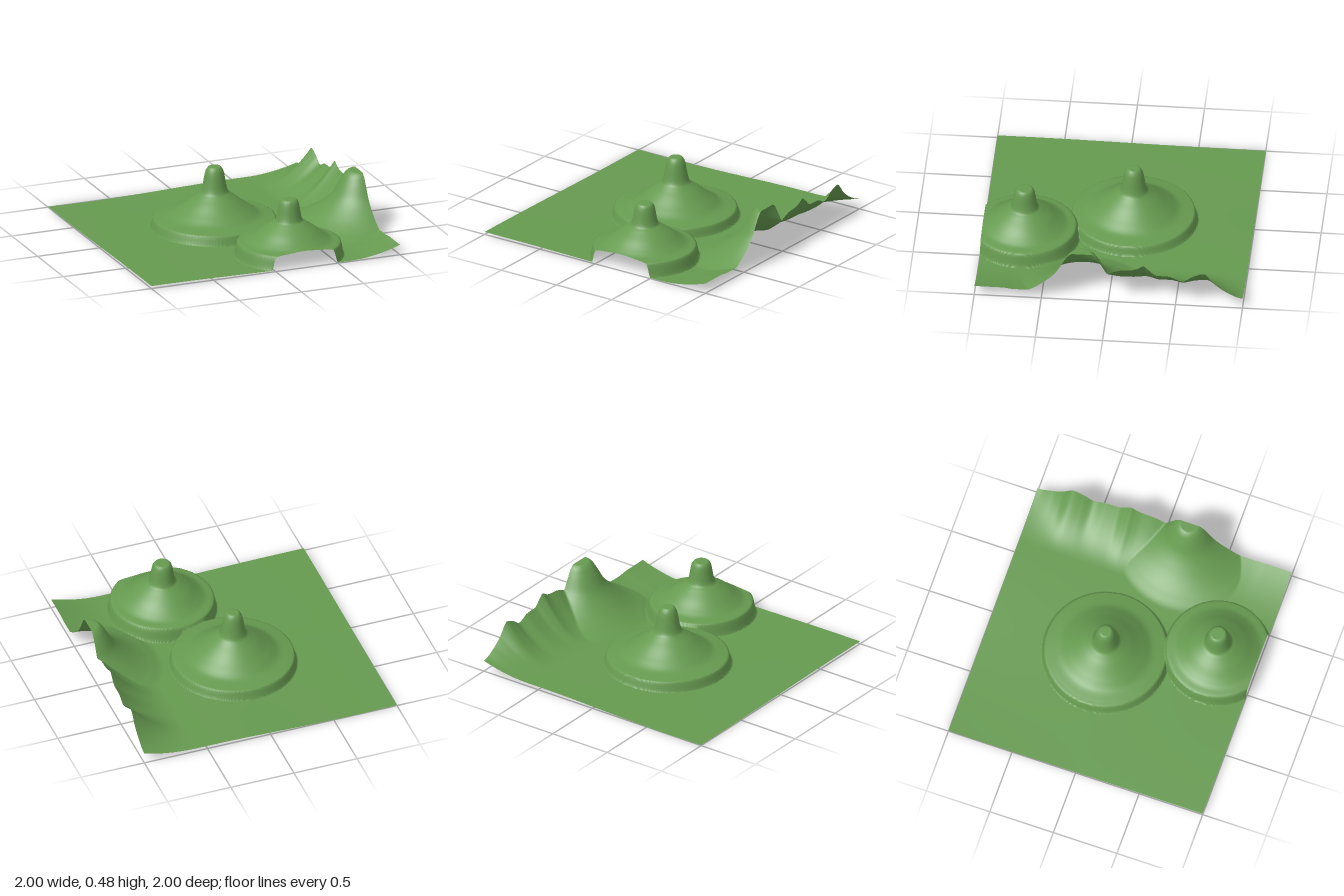
import * as THREE from 'three';

// Smooth curve through [position, height] points that never overshoots them
function curve(pts) {
  const n = pts.length;
  const slope = pts.slice(1).map((p, i) => (p[1] - pts[i][1]) / (p[0] - pts[i][0]));
  const tangent = pts.map((p, i) => {
    if (i === 0 || i === n - 1) return 0;
    const a = slope[i - 1], b = slope[i];
    return a * b <= 0 ? 0 : (2 * a * b) / (a + b);
  });
  return (x) => {
    if (x <= pts[0][0]) return pts[0][1];
    if (x >= pts[n - 1][0]) return pts[n - 1][1];
    let i = 0;
    while (x > pts[i + 1][0]) i++;
    const h = pts[i + 1][0] - pts[i][0], t = (x - pts[i][0]) / h, t2 = t * t, t3 = t2 * t;
    return (2 * t3 - 3 * t2 + 1) * pts[i][1] + (t3 - 2 * t2 + t) * h * tangent[i]
      + (3 * t2 - 2 * t3) * pts[i + 1][1] + (t3 - t2) * h * tangent[i + 1];
  };
}

// Round hills: flat-topped spire, domed skirt, rim and a short cliff (radius, height)
const hills = [
  { x: -0.035, z: -0.1, profile: curve([[0.04, 0.49], [0.065, 0.46], [0.1, 0.3], [0.13, 0.272], [0.18, 0.235],
    [0.27, 0.165], [0.35, 0.115], [0.42, 0.1], [0.455, 0.092], [0.482, 0]]) },
  { x: 0.235, z: 0.69, profile: curve([[0.05, 0.45], [0.07, 0.43], [0.1, 0.29], [0.13, 0.268], [0.2, 0.22],
    [0.27, 0.165], [0.32, 0.135], [0.385, 0.118], [0.412, 0]]) },
];

// Flat-topped mountain on the edge (radius, height above the ground)
const mountain = curve([[0.07, 0.405], [0.1, 0.385], [0.13, 0.34], [0.2, 0.22], [0.3, 0.125],
  [0.38, 0.07], [0.46, 0.03], [0.56, 0]]);

// Crest of the ridge along the +x edge (z, height above the ground)
const crest = curve([[-1, 0.07], [-0.88, 0.12], [-0.8, 0.18], [-0.71, 0.275], [-0.63, 0.245], [-0.55, 0.2],
  [-0.45, 0.237], [-0.36, 0.24], [-0.3, 0.29], [-0.26, 0.32], [-0.22, 0.298], [-0.17, 0.28], [-0.1, 0.275],
  [0, 0.24], [0.2, 0.15], [0.5, 0.065], [0.7, 0.06], [0.8, 0.07], [1, 0.07]]);

function heightAt(x, z) {
  // Gently rolling ground
  const ground = 0.02 + 0.008 * Math.sin(2.2 * x + 0.4) * Math.sin(-1.9 * z)
    + 0.006 * Math.max(0, -z) * Math.sin(3 * x);
  const fall = Math.max(0, (x - 0.58) / 0.42);
  const ridge = crest(z) * fall * fall;
  let y = ground + Math.max(ridge, mountain(Math.hypot(x - 1, z - 0.2)));
  for (const hill of hills) y = Math.max(y, hill.profile(Math.hypot(x - hill.x, z - hill.z)));
  return y;
}

export function createModel() {
  const group = new THREE.Group();
  group.name = 'landscape';
  const grass = new THREE.MeshStandardMaterial({ color: 0x669a50, side: THREE.DoubleSide });
  grass.name = 'grass green';

  // One open sheet raised by the height rule
  const sheet = new THREE.PlaneGeometry(2, 2, 240, 240).rotateX(-Math.PI / 2);
  const pos = sheet.attributes.position;
  let lowest = Infinity;
  for (let i = 0; i < pos.count; i++) {
    const y = heightAt(pos.getX(i), pos.getZ(i));
    pos.setY(i, y);
    lowest = Math.min(lowest, y);
  }
  sheet.translate(0, -lowest, 0);
  sheet.computeVertexNormals();

  const terrain = new THREE.Mesh(sheet, grass);
  terrain.name = 'terrain';
  group.add(terrain);
  return group;
}
